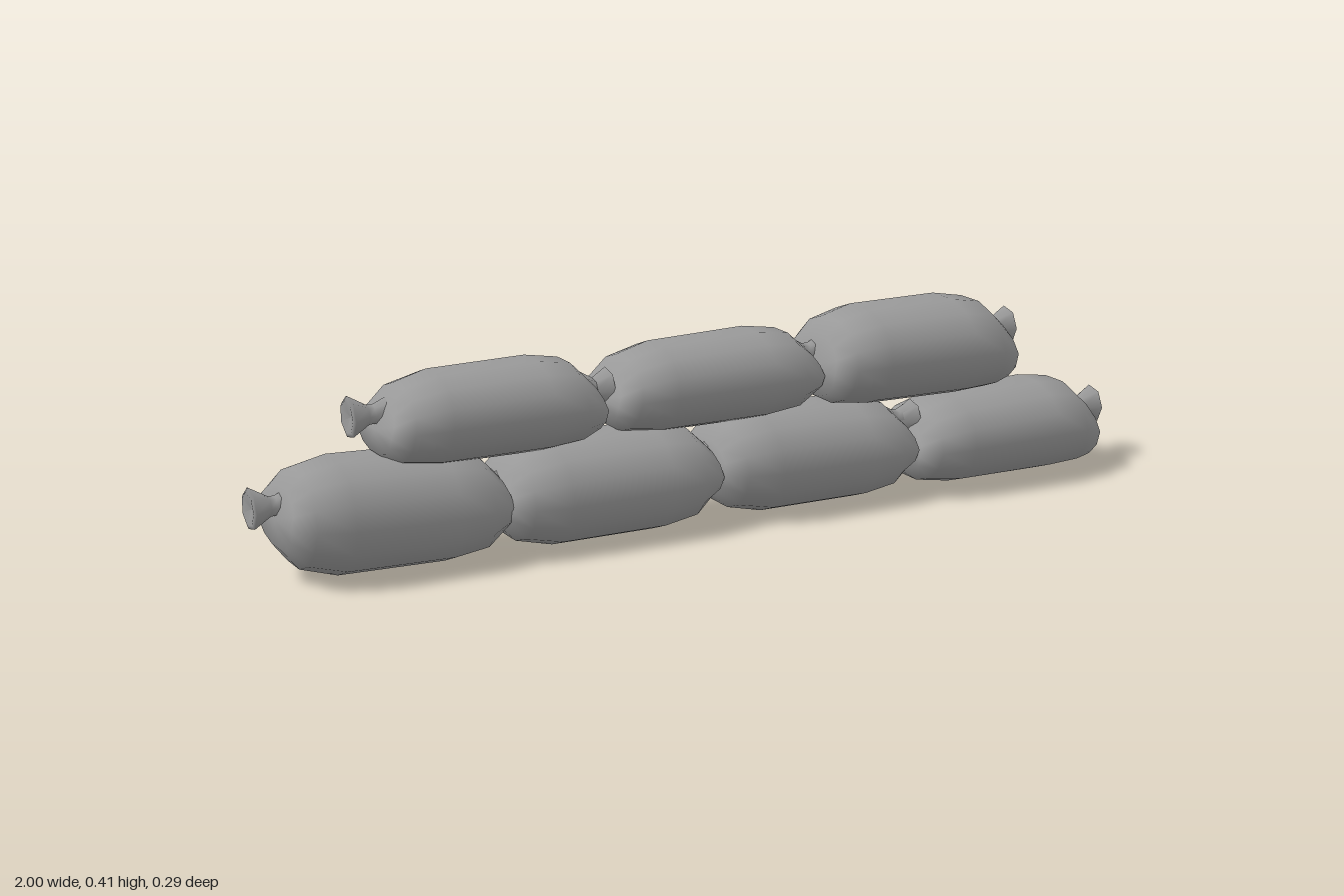
import * as THREE from 'three';

const cloth = new THREE.MeshStandardMaterial({ color: 0x999999 });
cloth.name = 'grey sackcloth';

const SIDES = 14;
const { lerp } = THREE.MathUtils;

// Stations along a sack: position, relative width, and how much the end rounding applies
const stations = [[0, 0.72, 1], [0.07, 0.9, 0.35], [0.24, 1, 0], [0.74, 1, 0], [0.91, 0.9, 0.25], [1, 0.72, 1]];

// Pillow-shaped sack: rings from one end to the other, capped with shallow fans
function sackGeometry({ x, inset, base, top, raise, z }) {
  const zc = (z[0] + z[1]) / 2, zr = (z[1] - z[0]) / 2;
  const pos = [], index = [];
  stations.forEach(([t, width, round]) => {
    const side = t < 0.5 ? 0 : 1;
    const xb = lerp(x[0], x[1], t);
    const xt = lerp(x[0] + inset[0], x[1] - inset[1], t);
    const yb = lerp(base[0], base[1], t) + raise[side] * round;
    const yt = lerp(top[0], top[1], t) - 0.052 * round;
    for (let j = 0; j < SIDES; j++) {
      const a = (j / SIDES) * Math.PI * 2;
      const s = Math.sin(a), c = Math.cos(a);
      const up = (1 + s) / 2;
      const across = Math.sign(c) * Math.abs(c) ** 0.88;
      // the end rings bulge outwards a little at mid height
      const bulge = t === 0 ? -0.012 : t === 1 ? 0.012 : 0;
      pos.push(lerp(xb, xt, up) + bulge * (1 - Math.abs(s)), lerp(yb, yt, up), zc + zr * width * across);
    }
  });
  const last = stations.length - 1;
  for (let i = 0; i < last; i++) {
    for (let j = 0; j < SIDES; j++) {
      const a = i * SIDES + j, b = i * SIDES + (j + 1) % SIDES;
      index.push(a, a + SIDES, b, b, a + SIDES, b + SIDES);
    }
  }
  // end caps
  for (const side of [0, 1]) {
    const centre = pos.length / 3, ring = side * last * SIDES;
    const xc = x[side] + (side ? -1 : 1) * (inset[side] / 2 - 0.012);
    pos.push(xc, (base[side] + raise[side] + top[side] - 0.052) / 2, zc);
    for (let j = 0; j < SIDES; j++) {
      const a = ring + j, b = ring + (j + 1) % SIDES;
      index.push(centre, side ? b : a, side ? a : b);
    }
  }
  const g = new THREE.BufferGeometry();
  g.setAttribute('position', new THREE.Float32BufferAttribute(pos, 3));
  g.setIndex(index);
  g.computeVertexNormals();
  return g;
}

// Tied neck flaring out to a ruffled tip, running along +y before it is turned
function knotGeometry() {
  const profile = [[0.034, -0.03], [0.02, 0.005], [0.021, 0.018], [0.043, 0.056], [0.034, 0.06], [0, 0.052]];
  return new THREE.LatheGeometry(profile.map(([r, y]) => new THREE.Vector2(r, y)), 7);
}

// Each pair holds the -x end and the +x end; inset slants the ends, raise lifts the bottom corners
const lowerSacks = [
  { x: [-0.95, -0.495], inset: [0.015, 0.005], base: [0.012, 0.003], top: [0.247, 0.23], raise: [0.063, 0.047], knotY: [0.16, 0.14], z: [-0.143, 0.137] },
  { x: [-0.49, -0.025], inset: [0.01, 0], base: [0.004, 0.004], top: [0.215, 0.227], raise: [0.055, 0.05], knotY: [0.14, 0.14], z: [-0.147, 0.14] },
  { x: [0, 0.455], inset: [0, 0.005], base: [0.006, 0.006], top: [0.225, 0.22], raise: [0.05, 0.045], knotY: [0.14, 0.15], z: [-0.148, 0.14] },
  { x: [0.47, 0.94], inset: [0.02, 0.015], base: [0.006, 0.004], top: [0.193, 0.212], raise: [0.035, 0.01], knotY: [0.155, 0.123], z: [-0.143, 0.135] },
];
const upperSacks = [
  { x: [-0.74, -0.275], inset: [0.025, 0.013], base: [0.204, 0.203], top: [0.387, 0.394], raise: [0.034, 0.026], knotY: [0.313, 0.305], z: [-0.132, 0.118] },
  { x: [-0.24, 0.24], inset: [0.025, 0.01], base: [0.203, 0.203], top: [0.382, 0.395], raise: [0.032, 0.036], knotY: [0.305, 0.32], z: [-0.15, 0.1] },
  { x: [0.25, 0.712], inset: [0.02, 0.022], base: [0.21, 0.205], top: [0.416, 0.419], raise: [0.027, 0.016], knotY: [0.325, 0.328], z: [-0.146, 0.143] },
];

export function createModel() {
  const model = new THREE.Group();
  model.name = 'sandbagWall';
  const knotShape = knotGeometry();

  function addRow(rowName, sacks, knotZ) {
    const row = new THREE.Group();
    row.name = rowName;
    sacks.forEach((spec, n) => {
      const sack = new THREE.Group();
      sack.name = `sack${n + 1}`;
      const body = new THREE.Mesh(sackGeometry(spec), cloth);
      body.name = 'sackBody';
      sack.add(body);
      // a tied knot at each end, pointing outwards
      for (const side of [0, 1]) {
        const out = side ? 1 : -1;
        const knot = new THREE.Mesh(knotShape, cloth);
        knot.name = side ? 'leftKnot' : 'rightKnot';
        knot.position.set(spec.x[side] - out * spec.inset[side] * 0.35, spec.knotY[side], knotZ);
        knot.rotation.z = -out * Math.PI / 2;
        sack.add(knot);
      }
      row.add(sack);
    });
    model.add(row);
  }

  addRow('lowerRow', lowerSacks, -0.005);
  addRow('upperRow', upperSacks, -0.018);
  return model;
}
